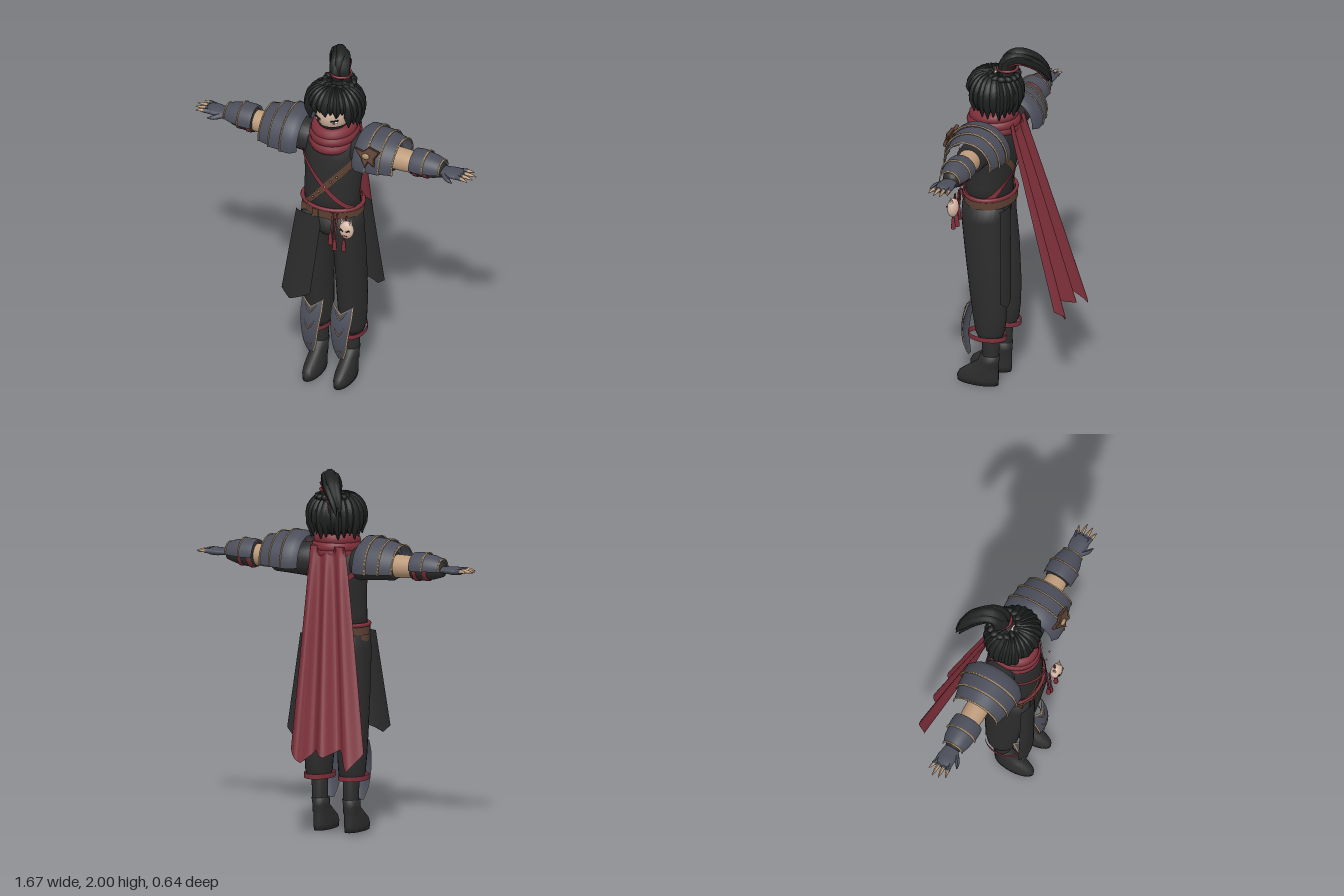
import * as THREE from 'three';
import { ParametricGeometry } from 'three/addons/geometries/ParametricGeometry.js';

const paint = (name, color, side = THREE.DoubleSide) => Object.assign(new THREE.MeshStandardMaterial({ color, side }), { name });
const V = (x, y, z) => new THREE.Vector3(x, y, z);
const ARM_Y = 1.48, ARM_Z = 0.095;

// Linear sample of an evenly spaced table, t in 0..1
function sample(table, t) {
  const f = Math.min(Math.max(t, 0), 1) * (table.length - 1), i = Math.min(Math.floor(f), table.length - 2);
  return table[i] + (table[i + 1] - table[i]) * (f - i);
}

// Stack of horizontal ellipses [y, cx, cz, rx, rz], closed at both ends
function loft(rows, seg = 24) {
  const a = rows[0], b = rows[rows.length - 1];
  const rings = [[a[0], a[1], a[2], 0, 0], ...rows, [b[0], b[1], b[2], 0, 0]];
  const pos = [], idx = [];
  rings.forEach(([y, cx, cz, rx, rz], i) => {
    for (let j = 0; j < seg; j++) {
      const t = j / seg * Math.PI * 2;
      pos.push(cx + rx * Math.sin(t), y, cz + rz * Math.cos(t));
      if (i === rings.length - 1) continue;
      const p = i * seg + j, q = i * seg + (j + 1) % seg;
      idx.push(p, q, q + seg, p, q + seg, p + seg);
    }
  });
  const g = new THREE.BufferGeometry();
  g.setAttribute('position', new THREE.Float32BufferAttribute(pos, 3));
  g.setIndex(idx);
  g.computeVertexNormals();
  return g;
}

// Profile [x, r] turned around the arm; start = PI, length = PI gives the upper half only
function armTurn(points, start = 0, length = Math.PI * 2, squash = 1, y = ARM_Y) {
  const g = new THREE.LatheGeometry(points.map(([x, r]) => new THREE.Vector2(r, x)), 28, start, length);
  return g.rotateZ(-Math.PI / 2).scale(1, squash, 1).translate(0, y, ARM_Z);
}

// Tube whose radius follows a table
function taper(points, radii, n = 12, m = 7) {
  const curve = new THREE.CatmullRomCurve3(points), g = new THREE.TubeGeometry(curve, n, 1, m);
  const p = g.attributes.position, v = V(0, 0, 0);
  for (let k = 0; k < p.count; k++) {
    const t = Math.floor(k / (m + 1)) / n, c = curve.getPointAt(t);
    v.fromBufferAttribute(p, k).sub(c).multiplyScalar(sample(radii, t)).add(c);
    p.setXYZ(k, v.x, v.y, v.z);
  }
  g.computeVertexNormals();
  return g;
}

function mirror(geo) {
  const g = geo.clone().scale(-1, 1, 1);
  const idx = g.index ? Array.from(g.index.array) : [...Array(g.attributes.position.count).keys()];
  for (let i = 0; i < idx.length; i += 3) [idx[i + 1], idx[i + 2]] = [idx[i + 2], idx[i + 1]];
  g.setIndex(idx);
  return g;
}

const sheet = (fn, nu = 12, nv = 12) => new ParametricGeometry((u, v, p) => p.set(...fn(u, v)), nu, nv);
const ball = (x, y, z, rx, ry, rz, ...arc) => new THREE.SphereGeometry(1, 28, 18, ...arc).scale(rx, ry, rz).translate(x, y, z);
const band = (x, y, z, rx, rz, h) => new THREE.CylinderGeometry(1, 1, h, 36, 1, true).scale(rx, 1, rz).translate(x, y, z);

export function createModel() {
  const root = new THREE.Group();
  root.name = 'maskedWarrior';
  const hair = paint('hair black', 0x1f2121), cloth = paint('dark cloth', 0x2c2c2d), red = paint('dark red', 0x7d2f39);
  const slate = paint('slate armour', 0x4b4e5a), gold = paint('tan trim', 0xa58a66), brown = paint('brown leather', 0x5c4032);
  const skin = paint('arm skin', 0xbd9b7a), pale = paint('face skin', 0xd8b9a6), white = paint('eye white', 0xe8e2dc);
  const add = (name, geo, mat) => { const m = new THREE.Mesh(geo, mat); m.name = name; root.add(m); return m; };
  const pair = (name, geo, mat) => { add('left ' + name, geo, mat); add('right ' + name, mirror(geo), mat); };

  // Torso and pelvis
  const torso = [[1.08, 0, .125, .165, .125], [1.2, 0, .135, .155, .125], [1.32, 0, .115, .163, .135], [1.44, 0, .105, .17, .138],
    [1.52, 0, .1, .16, .125], [1.57, 0, .1, .11, .1], [1.62, 0, .1, .06, .07]];
  add('torso', loft(torso, 32), cloth);
  add('pelvis', loft([[.94, 0, .13, .06, .08], [.99, 0, .135, .15, .112], [1.1, 0, .13, .17, .127]]), cloth);

  // Legs, boots and ankle bands
  pair('trouser leg', loft([[.29, .1, .085, .06, .065], [.33, .1, .085, .072, .082], [.42, .1, .088, .077, .095], [.55, .1, .095, .08, .105],
    [.8, .098, .115, .082, .115], [1, .092, .135, .083, .118], [1.09, .085, .13, .083, .12]]), cloth);
  pair('lower leg', loft([[.1, .093, .085, .04, .045], [.32, .095, .085, .045, .05]]), cloth);
  pair('boot', loft([[0, .093, .16, .047, .119], [.03, .093, .16, .05, .121], [.06, .093, .152, .049, .113], [.1, .093, .125, .045, .085],
    [.135, .093, .098, .043, .06], [.18, .093, .09, .048, .055]]), cloth);
  pair('ankle band', band(.102, .303, .1, .078, .11, .028), red);

  // Shin guards: a trimmed, bowed plate
  const shinPlate = (grow, dz) => sheet((u, v) => {
    const s = u * 2 - 1, x = s * (sample([.058, .06, .053, .044, .035, .012], 1 - v) + grow);
    const y = .165 - grow + v * (.29 + 2 * grow + .04 * Math.abs(s));
    return [.09 + x, y, .25 + dz - 1.3 * (y - .32) ** 2 - 5 * x * x];
  }, 10, 14);
  pair('shin guard', shinPlate(0, 0), slate);
  pair('shin guard trim', shinPlate(.005, -.004), gold);
  pair('shin guard back', shinPlate(.004, -.008), slate);
  for (const [y, w, h] of [[.335, .03, .045], [.43, .035, .04], [.215, .014, .02]])
    pair('shin chevron', taper([V(.09 - w, y + h, .247 - 5 * w * w - 1.3 * (y + h - .32) ** 2), V(.09, y, .252 - 1.3 * (y - .32) ** 2),
      V(.09 + w, y + h, .247 - 5 * w * w - 1.3 * (y + h - .32) ** 2)], [.003, .004, .003], 10, 5), gold);

  // Arms
  pair('sleeve', armTurn([[.08, .06], [.14, .095], [.22, .088], [.3, .083], [.355, .08], [.37, .07], [.37, 0]]), cloth);
  pair('upper arm', armTurn([[.33, .064], [.42, .063], [.52, .057]]), skin);
  pair('forearm wrap', armTurn([[.475, 0], [.475, .067], [.53, .068], [.6, .056], [.65, .04], [.65, 0]]), cloth);
  for (const [x, r] of [[.5, .073], [.56, .068]])
    pair('forearm tie', armTurn([[x - .012, r - .01], [x - .01, r], [x + .01, r], [x + .012, r - .01]]), red);

  // Half-round armour lames with pale edges: [x, r] profiles
  const lames = [['shoulder lame', [[.165, .145], [.195, .172], [.255, .174]], 1.462], ['shoulder lame', [[.25, .164], [.33, .16]], 1.462],
    ['shoulder lame', [[.325, .152], [.4, .134]], 1.462], ['forearm guard', [[.475, .082], [.5, .086], [.555, .086]], 1.48],
    ['forearm guard', [[.55, .08], [.6, .074], [.645, .058]], 1.48]];
  for (const [name, prof, y] of lames) {
    pair(name, armTurn(prof, Math.PI - .1, Math.PI + .2, 1, y), slate);
    const [x, r] = prof[prof.length - 1];
    pair(name + ' edge', armTurn([[x - .004, r], [x - .003, r + .004], [x + .003, r + .004], [x + .004, r - .003]], Math.PI - .1, Math.PI + .2, 1, y), gold);
  }

  // Hands
  pair('glove', armTurn([[.62, .042], [.66, .042], [.71, .052], [.75, .05], [.765, .035], [.768, 0]], 0, Math.PI * 2, .42), slate);
  for (let i = 0; i < 4; i++) {
    const s = i - 1.5, z = ARM_Z - s * .024, tip = [.815, .832, .837, .808][i];
    pair('finger', taper([V(.74, 1.482, z), V(.79, 1.484, z - s * .007), V(tip, 1.478, z - s * .012)], [.012, .011, .009, .002], 8), skin);
    pair('finger glove', taper([V(.735, 1.482, z), V(.755, 1.483, z - s * .002), V(.775, 1.484, z - s * .005)], [.014, .013], 4), slate);
  }
  pair('thumb', taper([V(.665, 1.475, ARM_Z + .03), V(.7, 1.47, ARM_Z + .062), V(.735, 1.465, ARM_Z + .078)], [.017, .015, .012, .003], 8), slate);

  // Shoulder ornament on the left pad
  const crest = new THREE.Shape([[-.07, .03], [-.02, .02], [.01, .05], [.07, .035], [.045, -.005], [.05, -.045], [.015, -.025], [0, -.06], [-.025, -.015]]
    .map(p => new THREE.Vector2(...p)));
  const ornament = new THREE.ExtrudeGeometry(crest, { depth: .012, bevelEnabled: true, bevelSize: .004, bevelThickness: .004, bevelSegments: 1 });
  add('shoulder ornament', ornament.rotateX(-.35).translate(.26, 1.55, .245), brown);
  add('ornament boss', ball(.26, 1.555, .262, .022, .018, .012), gold);

  // Belt, rope and crossed straps that follow the torso
  add('belt', band(0, 1.108, .124, .176, .142, .045), brown);
  add('belt rope', new THREE.TorusGeometry(1, .07, 8, 40).rotateX(Math.PI / 2).scale(.172, .17, .137).translate(0, 1.14, .124), red);
  for (const x of [-.12, -.04, .05]) add('belt pouch', new THREE.BoxGeometry(.035, .05, .02).translate(x, 1.108, .262 - x * x * 2.6), brown);
  const strap = (y0, slope, half, lift) => sheet((u, v) => {
    const a = u * Math.PI * 2, y = Math.min(1.5, y0 + slope * .168 * Math.sin(a) + (v - .5) * 2 * half);
    let i = 0;
    while (i < torso.length - 2 && torso[i + 1][0] < y) i++;
    const t = (y - torso[i][0]) / (torso[i + 1][0] - torso[i][0]);
    const at = k => torso[i][k] + (torso[i + 1][k] - torso[i][k]) * t;
    return [(at(3) + lift) * Math.sin(a), y, at(2) + (at(4) + lift) * Math.cos(a)];
  }, 64, 2);
  add('leather strap', strap(1.27, 1.15, .027, .006), brown);
  add('red strap', strap(1.295, -1, .018, .011), red);
  for (let i = 0; i < 7; i++) add('strap stud', ball(-.09 + i * .035, 1.167 + i * .04, .268 - i * .002, .006, .006, .005), gold);

  // Hip mask and tassels
  add('hip mask', ball(.155, 1.06, .28, .042, .055, .03), pale);
  for (const s of [-1, 1]) {
    add('mask ear', new THREE.ConeGeometry(.014, .05, 6).rotateZ(-s * .3).translate(.155 + s * .028, 1.115, .28), pale);
    add('mask eye', new THREE.BoxGeometry(.022, .008, .006).rotateZ(s * .4).translate(.155 + s * .018, 1.068, .307), hair);
  }
  add('mask mouth', new THREE.BoxGeometry(.028, .007, .006).translate(.155, 1.035, .305), red);
  for (const [x, y] of [[.06, .95], [.085, .92], [.14, .93]]) {
    add('tassel cord', taper([V(x + .01, 1.14, .27), V(x + .004, 1.05, .28), V(x, y + .06, .285)], [.006, .005], 8, 6), red);
    add('tassel', new THREE.CylinderGeometry(.008, .014, .07, 8).translate(x, y + .03, .285), red);
  }

  // Hanging cloth panels, one in front and one behind
  const panel = (x0, x1, bx0, bx1, z0, z1, bow) => sheet((u, v) => {
    const bottom = sample([.57, .525, .55, .57], u), s = u * 2 - 1;
    return [(x0 + (x1 - x0) * u) * (1 - v) + (bx0 + (bx1 - bx0) * u) * v, 1.09 + (bottom - 1.09) * v, z0 + (z1 - z0) * v - bow * s * s];
  });
  add('front panel', panel(-.165, -.01, -.24, -.07, .268, .295, .025), cloth);
  add('back panel', panel(.17, .02, .235, .085, -.02, -.05, -.02), cloth);

  // Scarf and long folded cape
  for (const [y, r, tilt] of [[1.525, .102, .16], [1.565, .1, .05], [1.602, .09, .12]])
    add('scarf wrap', new THREE.TorusGeometry(r, .036, 12, 36).rotateX(Math.PI / 2 + tilt).scale(1, 1, 1.1).translate(0, y, .105), red);
  add('cape', sheet((u, v) => {
    const hem = sample([.5, .4, .51, .47, .5, .43, .5], u), fold = Math.cos((u - .17) / .36 * Math.PI * 2);
    return [(-.115 + .21 * u) * (1 - v) + (-.345 + .43 * u) * v, 1.58 + (hem - 1.58) * v, -.03 - .265 * v - fold * .036 * Math.sqrt(v)];
  }, 48, 20), red);

  // Head, face cloth and eyes
  add('face', ball(0, 1.72, .12, .1, .13, .11), pale);
  add('face cloth', ball(0, 1.72, .12, .105, .135, .117, 0, Math.PI * 2, Math.PI * .665, Math.PI * .335), cloth);
  pair('eye', new THREE.BoxGeometry(.036, .015, .006).rotateY(.5).translate(.05, 1.685, .211), white);
  pair('iris', new THREE.BoxGeometry(.013, .015, .006).rotateY(.45).translate(.046, 1.685, .215), brown);
  pair('eyelid', new THREE.BoxGeometry(.044, .006, .008).rotateZ(.15).rotateY(.5).translate(.051, 1.695, .214), hair);

  // Hair: skull cap, ring of locks, braided crown
  add('skull hair', ball(0, 1.735, .06, .14, .115, .12), hair);
  for (let i = 0; i < 26; i++) {
    const a = i / 26 * Math.PI * 2, s = Math.sin(a), c = Math.cos(a);
    const front = c > .72, end = front ? 1.715 + (i % 2) * .02 : (c > 0 ? 1.635 : 1.615) + (i % 3) * .012;
    add('hair lock', taper([V(s * .03, 1.84, .09 + c * .03), V(s * .095, 1.825, .1 + c * .09), V(s * .138, 1.77, .1 + c * .13),
      V(s * (front ? .13 : .14), end, .1 + c * .128)], [.02, .027, .029, .026, .003], 12), hair);
  }
  for (let i = 0; i < 14; i++) {
    const a = i / 14 * Math.PI * 2;
    add('crown braid', new THREE.SphereGeometry(1, 12, 8).scale(.026, .018, .018).rotateY(.6 - a).translate(.08 * Math.sin(a), 1.845, .045 + .075 * Math.cos(a)), hair);
  }

  // Curved ponytail with red ties
  const tail = [V(0, 1.84, .02), V(-.005, 1.91, .03), V(-.02, 1.957, -.02), V(-.065, 1.93, -.095), V(-.115, 1.86, -.145), V(-.145, 1.785, -.168)];
  for (const [dx, dy, dz] of [[0, .015, 0], [-.032, 0, 0], [.032, 0, .005], [-.015, -.018, .015], [.018, -.015, -.012]])
    add('ponytail strand', taper(tail.map((p, i) => V(p.x + dx * (1 - i * .12), p.y + dy, p.z + dz)), [.03, .033, .032, .03, .02, .002], 20, 9), hair);
  add('ponytail tie', new THREE.TorusGeometry(.054, .008, 8, 24).rotateX(Math.PI / 2).translate(0, 1.885, .025), red);
  for (const s of [-1, 1])
    add('tie ribbon', taper([V(s * .04, 1.89, .03), V(s * .05 - .02, 1.93, -.04), V(s * .04 - .08, 1.88, -.12), V(s * .03 - .12, 1.8, -.17)], [.005, .004, .003], 14, 5), red);
  return root;
}
